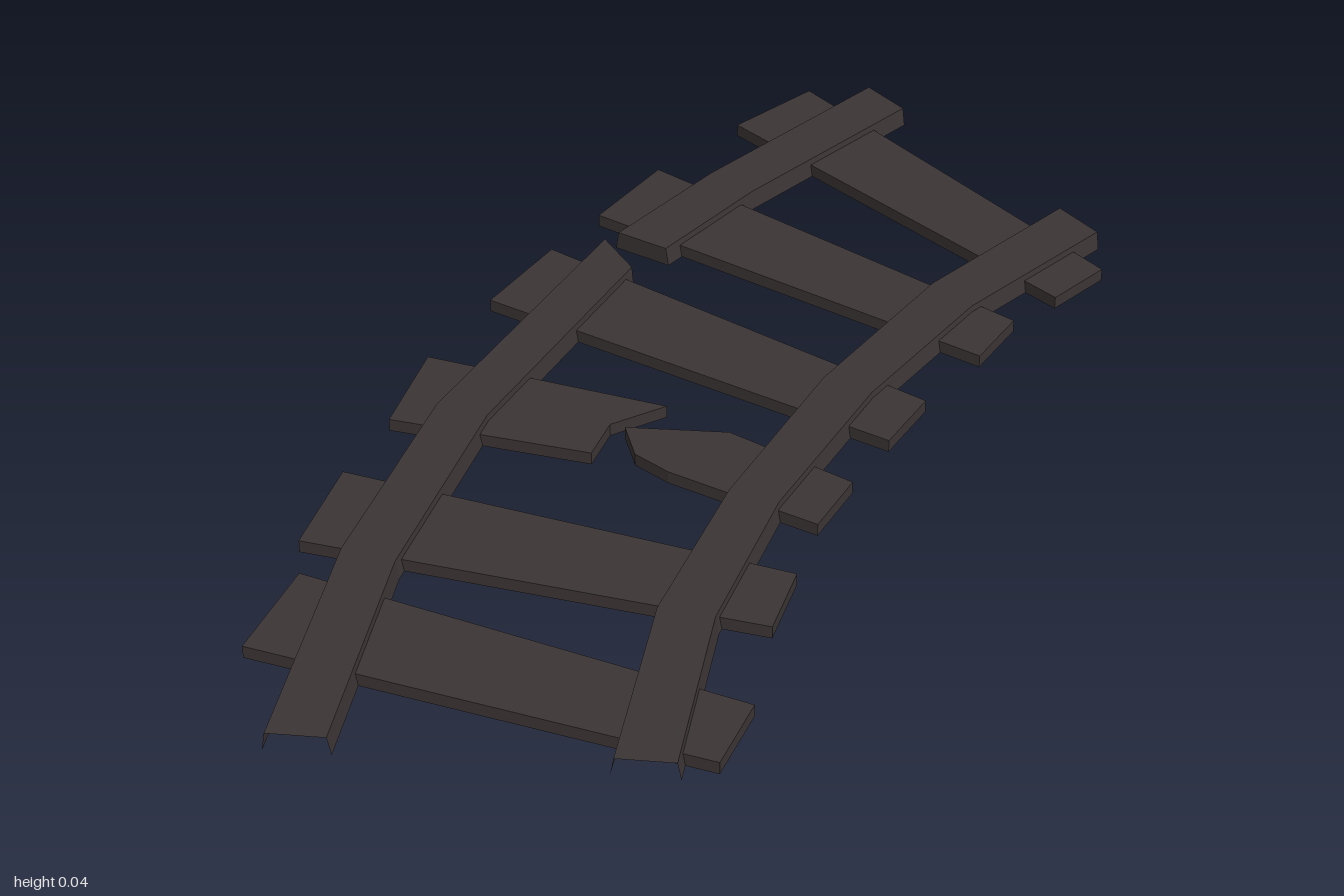
import * as THREE from 'three';

const RAIL_TOP = 0.037, TIE_TOP = 0.025, BEVEL = 0.006;

// Hollow, open-bottomed plank: walls from the base outline up to the top outline, plus a lid.
// Outlines are [x, z] lists, clockwise seen from above; openEdge is a wall to leave out.
function plank(name, base, top, height, material, openEdge = -1) {
  const pos = [];
  const low = base.map(([x, z]) => [x, 0, z]);
  const high = top.map(([x, z]) => [x, height, z]);
  const n = base.length;
  for (let i = 0; i < n; i++) {
    if (i === openEdge) continue;
    const j = (i + 1) % n;
    pos.push(...low[j], ...low[i], ...high[i], ...low[j], ...high[i], ...high[j]);
  }
  const contour = top.map(([x, z]) => new THREE.Vector2(x, -z));
  for (const [a, b, c] of THREE.ShapeUtils.triangulateShape(contour, [])) {
    const up = THREE.ShapeUtils.area([contour[a], contour[b], contour[c]]) > 0;
    pos.push(...high[a], ...high[up ? b : c], ...high[up ? c : b]);
  }
  const geometry = new THREE.BufferGeometry();
  geometry.setAttribute('position', new THREE.Float32BufferAttribute(pos, 3));
  geometry.computeVertexNormals();
  const mesh = new THREE.Mesh(geometry, material);
  mesh.name = name;
  return mesh;
}

// Rail from paired edge points running front to back, with sides leaning in.
function rail(name, left, right, material, openFront) {
  const lean = (p, q) => {
    const t = BEVEL / Math.hypot(q[0] - p[0], q[1] - p[1]);
    return [p[0] + (q[0] - p[0]) * t, p[1] + (q[1] - p[1]) * t];
  };
  const base = [...left, ...[...right].reverse()];
  const top = [
    ...left.map((p, i) => lean(p, right[i])),
    ...right.map((p, i) => lean(p, left[i])).reverse(),
  ];
  return plank(name, base, top, RAIL_TOP, material, openFront ? base.length - 1 : -1);
}

export function createModel() {
  const model = new THREE.Group();
  model.name = 'brokenTrack';
  const wood = new THREE.MeshStandardMaterial({ color: 0x3b3434, side: THREE.DoubleSide });
  wood.name = 'darkBrown';

  // Rails: one whole, one snapped in two
  const rails = new THREE.Group();
  rails.name = 'rails';
  rails.add(
    rail('rightRailFront',
      [[-0.615, 1], [-0.58, 0.54], [-0.487, 0.13], [-0.254, -0.413]],
      [[-0.503, 1], [-0.472, 0.566], [-0.381, 0.155], [-0.185, -0.317]], wood, true),
    rail('rightRailBack',
      [[-0.233, -0.434], [-0.079, -0.656], [0.206, -1]],
      [[-0.127, -0.386], [0.016, -0.593], [0.288, -0.92]], wood, false),
    rail('leftRail',
      [[-0.06, 1], [-0.034, 0.635], [0.053, 0.317], [0.19, -0.02], [0.37, -0.333], [0.6, -0.606]],
      [[0.053, 1], [0.076, 0.65], [0.153, 0.344], [0.29, 0.02], [0.455, -0.26], [0.681, -0.524]], wood, true),
  );

  // Cross ties, front to back; the third is broken in the middle
  const ties = new THREE.Group();
  ties.name = 'ties';
  const outlines = {
    tie1: [[-0.635, 0.598], [0.153, 0.841], [0.111, 0.979], [-0.691, 0.788]],
    tie2: [[-0.614, 0.323], [0.193, 0.513], [0.164, 0.651], [-0.653, 0.515]],
    tie3BrokenRight: [[-0.524, -0.021], [-0.076, 0.08], [-0.17, 0.143], [-0.192, 0.227], [-0.561, 0.169]],
    tie3BrokenLeft: [[-0.143, 0.148], [0.042, 0.143], [0.268, 0.26], [0.217, 0.381], [-0.053, 0.265], [-0.116, 0.222]],
    tie4: [[-0.349, -0.381], [0.381, 0.016], [0.323, 0.138], [-0.439, -0.206]],
    tie5: [[-0.18, -0.672], [0.529, -0.243], [0.471, -0.127], [-0.275, -0.503]],
    tie6: [[0.09, -0.989], [0.688, -0.423], [0.603, -0.323], [-0.042, -0.847]],
  };
  for (const [name, outline] of Object.entries(outlines)) {
    ties.add(plank(name, outline, outline, TIE_TOP, wood));
  }

  model.add(rails, ties);
  return model;
}
